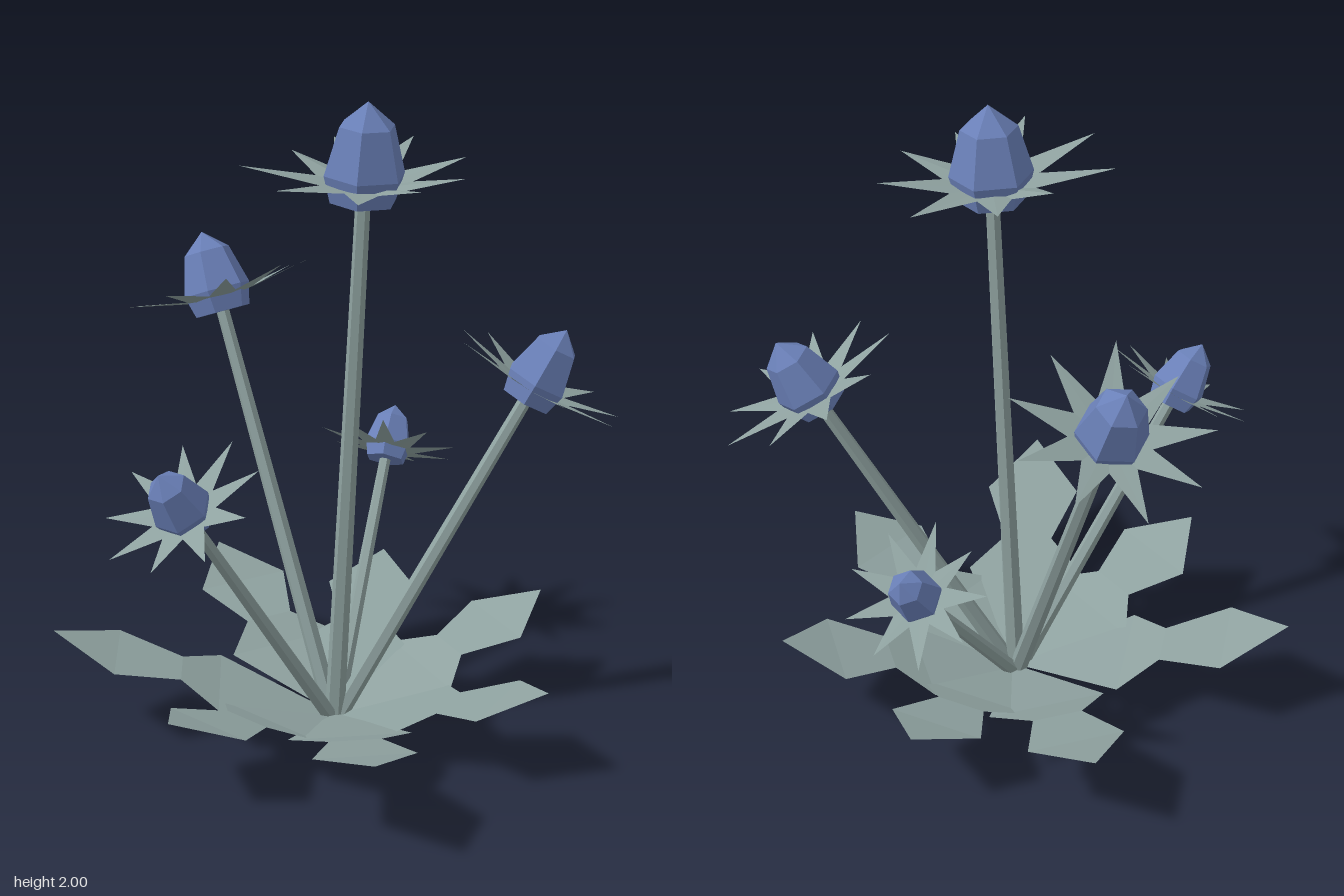
import * as THREE from 'three';

const plant = new THREE.MeshStandardMaterial({ color: 0x8fa2a0, flatShading: true, side: THREE.DoubleSide });
plant.name = 'greyGreen';
const petal = new THREE.MeshStandardMaterial({ color: 0x6a80b8, flatShading: true });
petal.name = 'thistleBlue';

const UP = new THREE.Vector3(0, 1, 0);
const ROOT = new THREE.Vector3(0.065, 0.017, -0.045);

function named(geometry, material, name) {
  const mesh = new THREE.Mesh(geometry, material);
  mesh.name = name;
  return mesh;
}

function surface(points, index) {
  const g = new THREE.BufferGeometry();
  g.setAttribute('position', new THREE.Float32BufferAttribute(points, 3));
  g.setIndex(index);
  g.computeVertexNormals();
  return g;
}

// Lobed leaf growing along +x: each section is [distance, half width, height]
function leafGeometry(length) {
  const k = length / 0.85;
  const sections = [[0.03, 0.015, 0.055], [0.35, 0.185, 0.155], [0.465, 0.078, 0.205], [0.66, 0.15, 0.262], [0.85, 0, 0.335]];
  const points = [], index = [];
  sections.forEach(([d, w, y], i) => {
    points.push(d * k, y * (0.4 + 0.6 * k), -w, d * k, y * (0.4 + 0.6 * k), w);
    if (i === 0) return;
    const a = 2 * i - 2;
    index.push(a, a + 1, a + 3);
    if (w > 0) index.push(a, a + 3, a + 2);
  });
  return surface(points, index);
}

// Star of pointed bracts, slightly cupped
function collarGeometry(lengths, spin) {
  const n = lengths.length, points = [0, 0.035, 0], index = [];
  for (let i = 0; i < 2 * n; i++) {
    const a = spin * Math.PI / 180 + i * Math.PI / n;
    const tip = i % 2 === 0;
    const r = tip ? 0.345 * lengths[i / 2] : 0.14;
    points.push(Math.cos(a) * r, tip ? 0.1 : 0.06, -Math.sin(a) * r);
    index.push(0, 1 + i, 1 + (i + 1) % (2 * n));
  }
  return surface(points, index);
}

// Six-sided pointed bud with corners on +x and -x
function budGeometry() {
  const profile = [[0, 0], [0.1, 0], [0.122, 0.08], [0.083, 0.22], [0, 0.29]];
  return new THREE.LatheGeometry(profile.map(([r, y]) => new THREE.Vector2(r, y)), 6, Math.PI / 2);
}

export function createModel() {
  const model = new THREE.Group();
  model.name = 'thistlePlant';

  // Rosette of leaves: [angle in degrees, length]
  const leaves = [[11, 0.72], [68, 0.745], [117, 0.7], [160, 0.79], [222, 0.86], [270, 0.73], [318, 0.85]];
  for (const [angle, length] of leaves) {
    const leaf = named(leafGeometry(length), plant, 'leaf');
    leaf.position.set(ROOT.x, 0, ROOT.z);
    leaf.rotation.y = angle * Math.PI / 180;
    model.add(leaf);
  }

  // Flowers: [stem end, size, collar spin, bract lengths]
  const even = [1, 0.95, 1.02, 0.97, 1, 0.94, 1.02, 0.96, 1];
  const flowers = [
    [[0.165, 1.71, -0.045], 1, 107, [1.07, 0.9, 0.73, 1.03, 1.04, 1.02, 0.76, 0.84, 0.95]],
    [[-0.457, 1.23, -0.12], 0.87, 82, even],
    [[0.43, 1.05, -0.495], 0.84, 3, even],
    [[0.012, 0.865, 0.52], 0.72, 86, even],
    [[-0.147, 0.69, -0.54], 0.64, 61, even],
  ];
  for (const [end, size, spin, lengths] of flowers) {
    const top = new THREE.Vector3(...end);
    const axis = top.clone().sub(ROOT);
    const height = axis.length();
    axis.normalize();
    const turn = new THREE.Quaternion().setFromUnitVectors(UP, axis);

    const thick = Math.sqrt(size);
    const stem = named(new THREE.CylinderGeometry(0.022 * thick, 0.031 * thick, height + 0.02, 6), plant, 'stem');
    stem.position.copy(ROOT).addScaledVector(axis, height / 2 + 0.01);
    stem.quaternion.copy(turn);
    model.add(stem);

    const flower = new THREE.Group();
    flower.name = 'flower';
    flower.position.copy(top);
    flower.quaternion.copy(turn);
    flower.scale.setScalar(size);
    flower.add(named(budGeometry(), petal, 'bud'), named(collarGeometry(lengths, spin), plant, 'collar'));
    model.add(flower);
  }
  return model;
}
